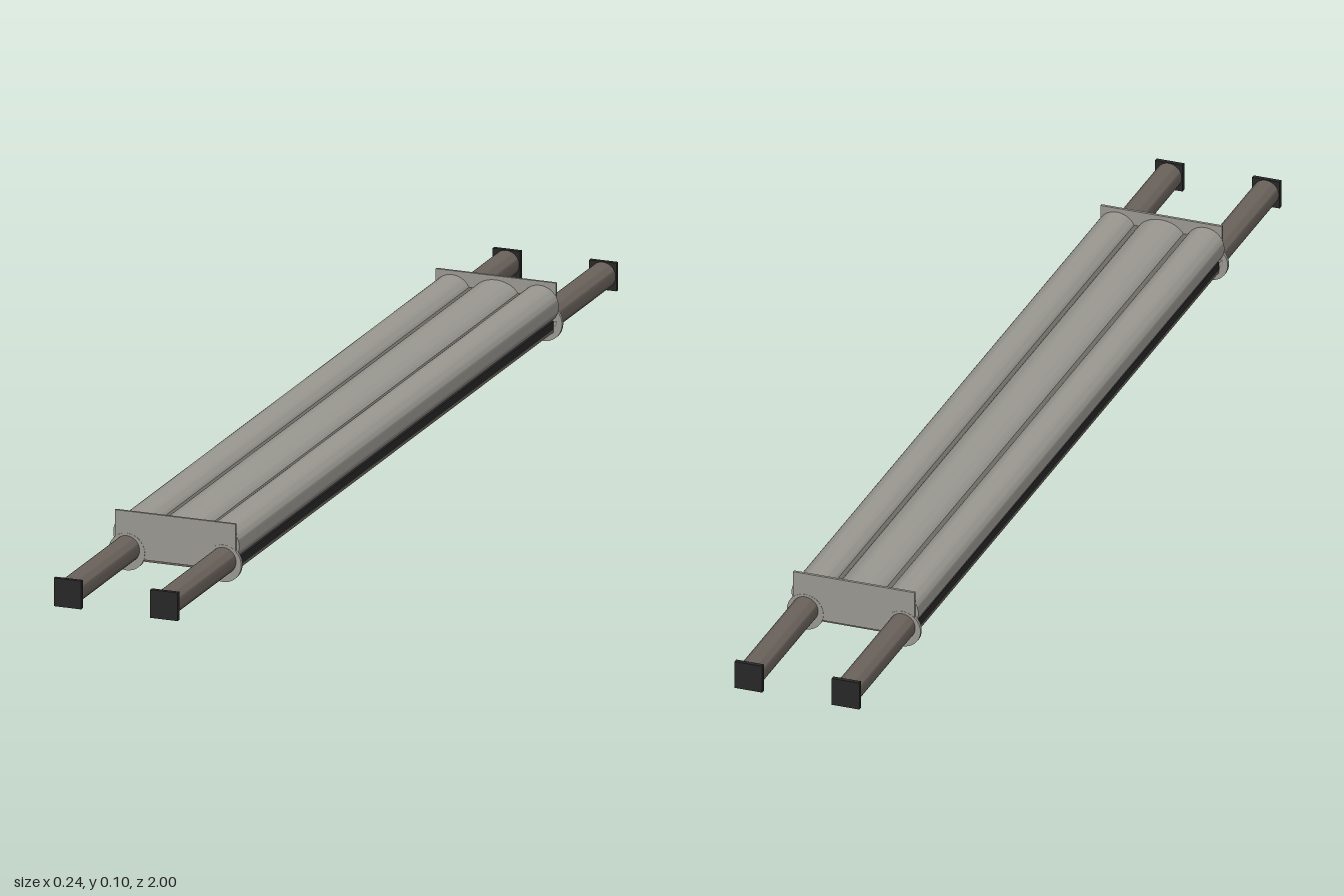
import * as THREE from 'three';
import { toCreasedNormals } from 'three/addons/utils/BufferGeometryUtils.js';

const material = (name, color) => new THREE.MeshStandardMaterial({ name, color });

export function createModel() {
  const model = new THREE.Group();
  model.name = 'paddedLitter';
  const grey = material('greyFabric', 0x9b9992);
  const seamGrey = material('darkGreySeam', 0x6f6d68);
  const brown = material('brownMetal', 0x6b635c);
  const black = material('blackRubber', 0x282828);
  const gold = material('tanTrim', 0xb8a768);

  const HALF = 0.725; // half length of the padded body
  const POLE_X = 0.088;

  function add(name, geometry, mat, x, y, z) {
    const mesh = new THREE.Mesh(geometry, mat);
    mesh.name = name;
    mesh.position.set(x, y, z);
    model.add(mesh);
    return mesh;
  }
  const box = (name, mat, w, h, d, x, y, z) =>
    add(name, new THREE.BoxGeometry(w, h, d), mat, x, y, z);

  // Smooth prism along z, centred on its own length
  function prism(shape, length) {
    const geometry = new THREE.ExtrudeGeometry(shape, {
      depth: length, bevelEnabled: false, curveSegments: 32,
    });
    geometry.translate(0, 0, -length / 2);
    return toCreasedNormals(geometry, 0.6);
  }

  // Three long rounded cushions
  for (const [name, x, rx] of [['leftCushion', 0.08, 0.035], ['middleCushion', 0, 0.045], ['rightCushion', -0.08, 0.035]]) {
    const shape = new THREE.Shape();
    shape.absellipse(0, 0, rx, 0.034, 0, Math.PI * 2);
    add(name, prism(shape, HALF * 2), grey, x, 0.064, 0);
  }

  // Seams in the valleys between the cushions
  for (const s of [-1, 1]) box('cushionSeam', seamGrey, 0.016, 0.02, HALF * 2, s * 0.045, 0.069, 0);

  // Layered frame beneath the cushions
  box('trimLayer', gold, 0.2, 0.026, HALF * 2, 0, 0.05, 0);
  box('rubberLayer', black, 0.21, 0.015, HALF * 2, 0, 0.0295, 0);
  box('basePlate', brown, 0.21, 0.005, HALF * 2, 0, 0.0195, 0);

  // Pole section: round with a flattened underside
  const poleShape = new THREE.Shape();
  const cut = 0.7;
  poleShape.absarc(0, 0, 0.0235, -Math.PI / 2 + cut, Math.PI * 1.5 - cut, false);
  poleShape.closePath();
  const poleLength = 0.992 - HALF;
  const poleGeometry = prism(poleShape, poleLength);

  // End plates, sockets, poles and caps at both ends
  for (const end of [-1, 1]) {
    box('endPlate', grey, 0.22, 0.083, 0.005, 0, 0.0635, end * 0.728);
    for (const side of [-1, 1]) {
      const x = side * POLE_X;
      const socket = new THREE.CylinderGeometry(0.033, 0.033, 0.006, 40);
      socket.rotateX(Math.PI / 2);
      add('poleSocket', socket, grey, x, 0.033, end * 0.728);
      add('pole', poleGeometry, brown, x, 0.038, end * (HALF + poleLength / 2));
      box('poleCap', black, 0.05, 0.05, 0.008, x, 0.0375, end * 0.996);
    }
  }
  return model;
}
